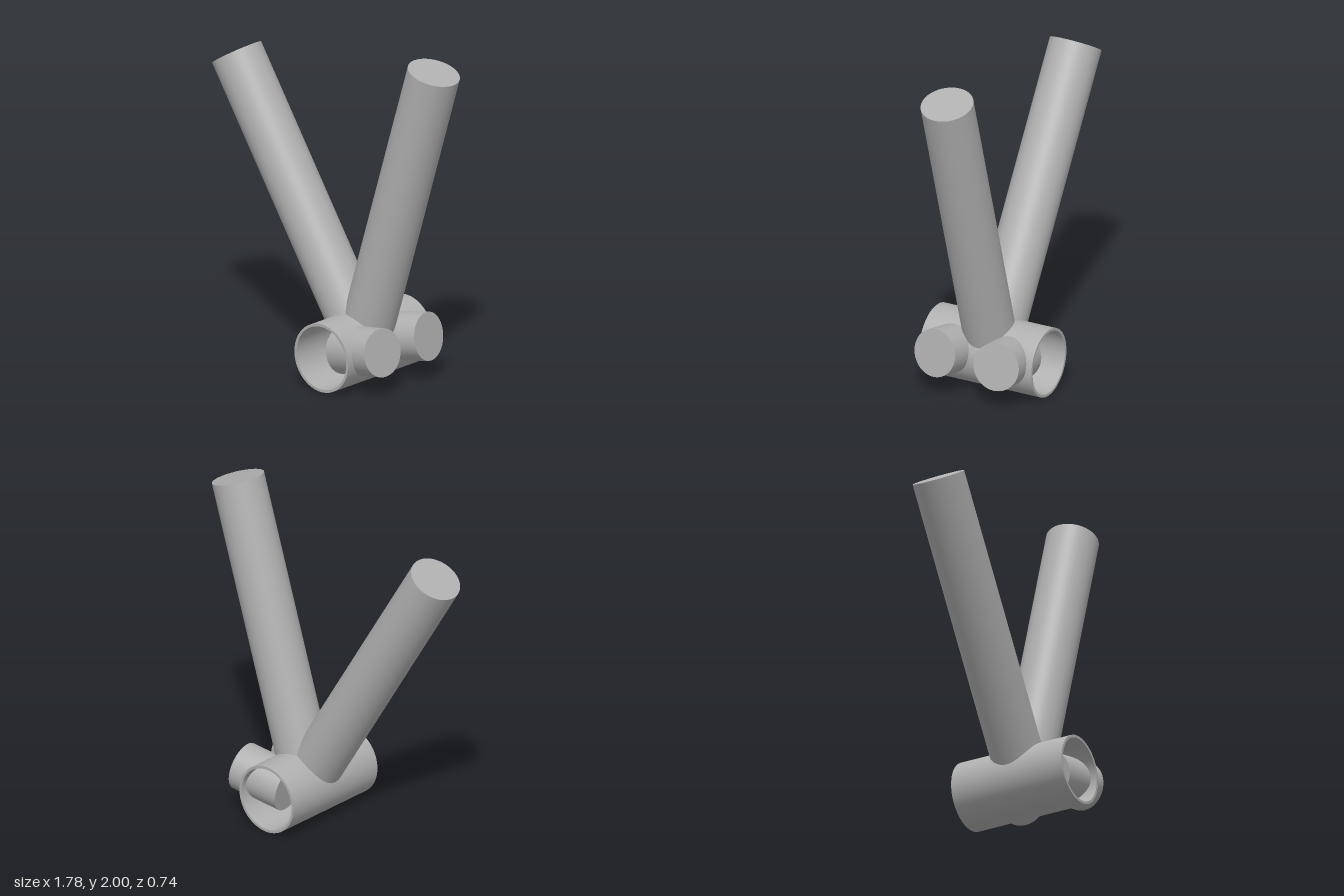
import * as THREE from 'three';
import { mergeGeometries } from 'three/addons/utils/BufferGeometryUtils.js';

export function createModel() {
  const model = new THREE.Group();
  model.name = 'frameJunction';
  const steel = new THREE.MeshStandardMaterial({ color: 0xb0b0b0 });
  steel.name = 'grey steel';

  // Solid round tube between two points
  function tube(name, from, to, radius) {
    const a = new THREE.Vector3(...from);
    const b = new THREE.Vector3(...to);
    const axis = b.clone().sub(a);
    const mesh = new THREE.Mesh(new THREE.CylinderGeometry(radius, radius, axis.length(), 64), steel);
    mesh.name = name;
    mesh.position.copy(a).add(b).multiplyScalar(0.5);
    mesh.quaternion.setFromUnitVectors(new THREE.Vector3(0, 1, 0), axis.normalize());
    model.add(mesh);
  }

  // Hollow crosswise shell: outer wall, rim, bore, rim, each with its own crisp normals
  const outer = 0.205, inner = 0.189, half = 0.37;
  const ring = [[outer, -half], [outer, half], [inner, half], [inner, -half]]
    .map(([x, y]) => new THREE.Vector2(x, y));
  const walls = ring.map((p, i) => new THREE.LatheGeometry([p, ring[(i + 1) % 4]], 72));
  const shell = new THREE.Mesh(mergeGeometries(walls), steel);
  shell.name = 'bracketShell';
  shell.rotation.x = Math.PI / 2;
  shell.position.set(0.205, 0.205, 0);
  model.add(shell);

  // Two long tubes rising from the shell
  tube('downTube', [0.16, 0.286, 0], [-0.76, 1.76, 0], 0.154);
  tube('seatTube', [0.231, 0.291, 0], [0.74, 1.955, 0], 0.154);

  // Mirrored pair of short stays, splayed slightly outward
  for (const side of [1, -1]) {
    tube(side > 0 ? 'frontStay' : 'backStay',
      [0.205, 0.21, side * 0.17], [0.525, 0.265, side * 0.203], 0.142);
  }

  return model;
}
